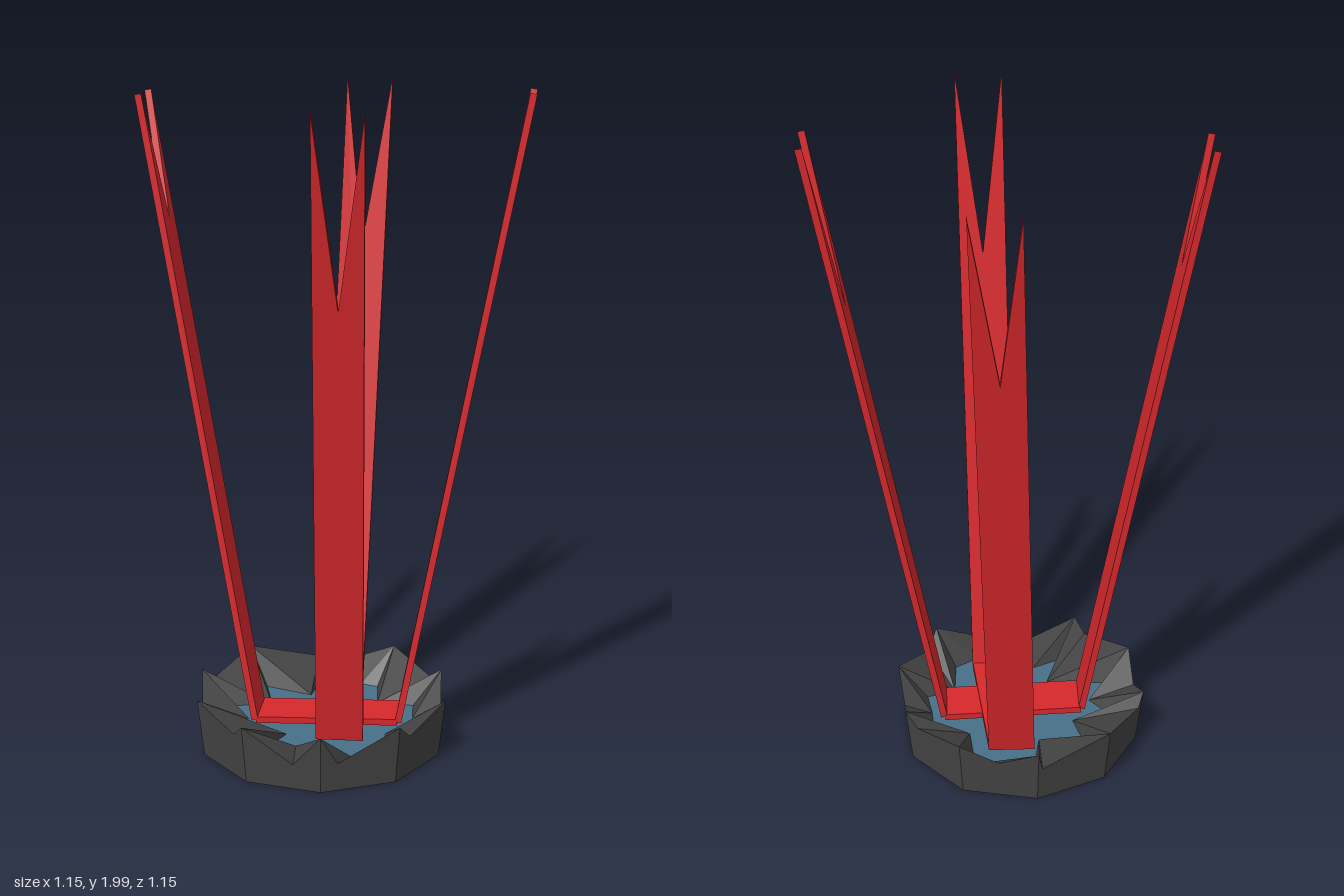
import * as THREE from 'three';

const CX = -0.045, CZ = -0.005, SIDES = 10, FLOOR = 0.07, PEAK = 0.18;

const paint = (color, extra = {}) => {
  const m = new THREE.MeshStandardMaterial({ flatShading: true, ...extra });
  m.color.set(color);
  return m;
};

// Point on the decagon, counted from the back towards -x
const corner = (i, r, y) => {
  const a = (i / SIDES) * Math.PI * 2;
  return new THREE.Vector3(CX - Math.sin(a) * r, y, CZ - Math.cos(a) * r);
};

// Per side: position along the edge and height of the valley, then x and z of the inner rock tip
const SEGMENTS = [
  [0.06, 0.12, -0.08, -0.18],
  [0.9, 0.13, -0.2, -0.1],
  [0.5, 0.12, -0.27, 0.0],
  [0.8, 0.14, -0.15, 0.115],
  [0.64, 0.08, -0.12, 0.2],
  [0.22, 0.09, 0.05, 0.28],
  [0.25, 0.13, 0.15, 0.11],
  [0.48, 0.11, 0.235, 0.0],
  [0.2, 0.14, 0.13, -0.12],
  [0.5, 0.13, 0.08, -0.27],
];

// Jagged rock bowl: outer wall, sloping inner facets and underside
function rockRim() {
  const bottom = [], top = [], inner = [], pos = [];
  SEGMENTS.forEach(([t, y, tx, tz], i) => {
    const r = THREE.MathUtils.lerp(0.374, 0.394, y / PEAK);
    const b0 = corner(i, 0.374, 0);
    top.push(corner(i, 0.394, PEAK), corner(i, r, y).lerp(corner(i + 1, r, y), t));
    bottom.push(b0, b0.clone().lerp(corner(i + 1, 0.374, 0), t));
    inner.push(corner(i, 0.3, FLOOR), new THREE.Vector3(tx, FLOOR, tz));
  });
  const tri = (...p) => p.forEach((v) => pos.push(v.x, v.y, v.z));
  const centre = new THREE.Vector3(CX, 0, CZ);
  const n = top.length;
  for (let i = 0; i < n; i++) {
    const j = (i + 1) % n;
    tri(bottom[i], bottom[j], top[j]);
    tri(bottom[i], top[j], top[i]);
    if (i % 2 === 0) {
      tri(top[i], top[j], inner[j]);
      tri(top[i], inner[j], inner[i]);
    } else {
      tri(top[i], top[j], inner[i]);
      tri(top[j], inner[j], inner[i]);
    }
    tri(centre, bottom[j], bottom[i]);
  }
  const g = new THREE.BufferGeometry();
  g.setAttribute('position', new THREE.Float32BufferAttribute(pos, 3));
  g.computeVertexNormals();
  return g;
}

// Flat strip from corner a, spanning its width vector and length vector, with an optional V notch
function strip(a, width, length, notch = 1, thickness = 0.02) {
  const s = new THREE.Shape();
  s.moveTo(0, 0);
  s.lineTo(1, 0);
  s.lineTo(1, 1);
  if (notch < 1) s.lineTo(0.5, notch);
  s.lineTo(0, 1);
  s.closePath();
  const g = new THREE.ExtrudeGeometry(s, { depth: 1, bevelEnabled: false });
  g.translate(0, 0, -0.5);
  const u = new THREE.Vector3(...width), v = new THREE.Vector3(...length);
  const n = u.clone().cross(v).setLength(thickness);
  return g.applyMatrix4(new THREE.Matrix4().makeBasis(u, v, n).setPosition(...a));
}

export function createModel() {
  const group = new THREE.Group();
  const rock = paint(0x444444, { side: THREE.DoubleSide });
  const red = paint(0xd6282c);
  const add = (name, geometry, material) => {
    const mesh = new THREE.Mesh(geometry, material);
    mesh.name = name;
    group.add(mesh);
    return mesh;
  };

  add('rockRim', rockRim(), rock);

  // Blue floor inside the bowl
  const floor = add('floor', new THREE.CircleGeometry(0.33, SIDES), paint(0x467089));
  floor.rotation.x = -Math.PI / 2;
  floor.position.set(CX, FLOOR, CZ);

  // Crossed strips lying on the floor
  add('crossStripLong', strip([-0.06, 0.1, 0.19], [0.14, 0, 0.01], [0.005, 0, -0.435]), red);
  add('crossStripWide', strip([0.185, 0.094, 0.085], [0.015, 0, -0.145], [-0.43, 0, -0.02]), red);

  // Tall notched ribbons leaning outwards from the strip ends
  add('frontRibbon', strip([-0.06, 0.095, 0.193], [0.14, 0, 0.012], [-0.005, 1.895, 0.357], 0.715), red);
  add('backRibbon', strip([0.085, 0.095, -0.232], [-0.14, 0, -0.014], [0.09, 1.885, -0.32], 0.73), red);
  add('leftRibbon', strip([0.188, 0.095, 0.085], [0.015, 0, -0.142], [0.36, 1.895, 0.015], 0.735), red);
  add('rightRibbon', strip([-0.233, 0.095, -0.075], [-0.016, 0, 0.14], [-0.316, 1.88, -0.1], 0.805), red);

  return group;
}
